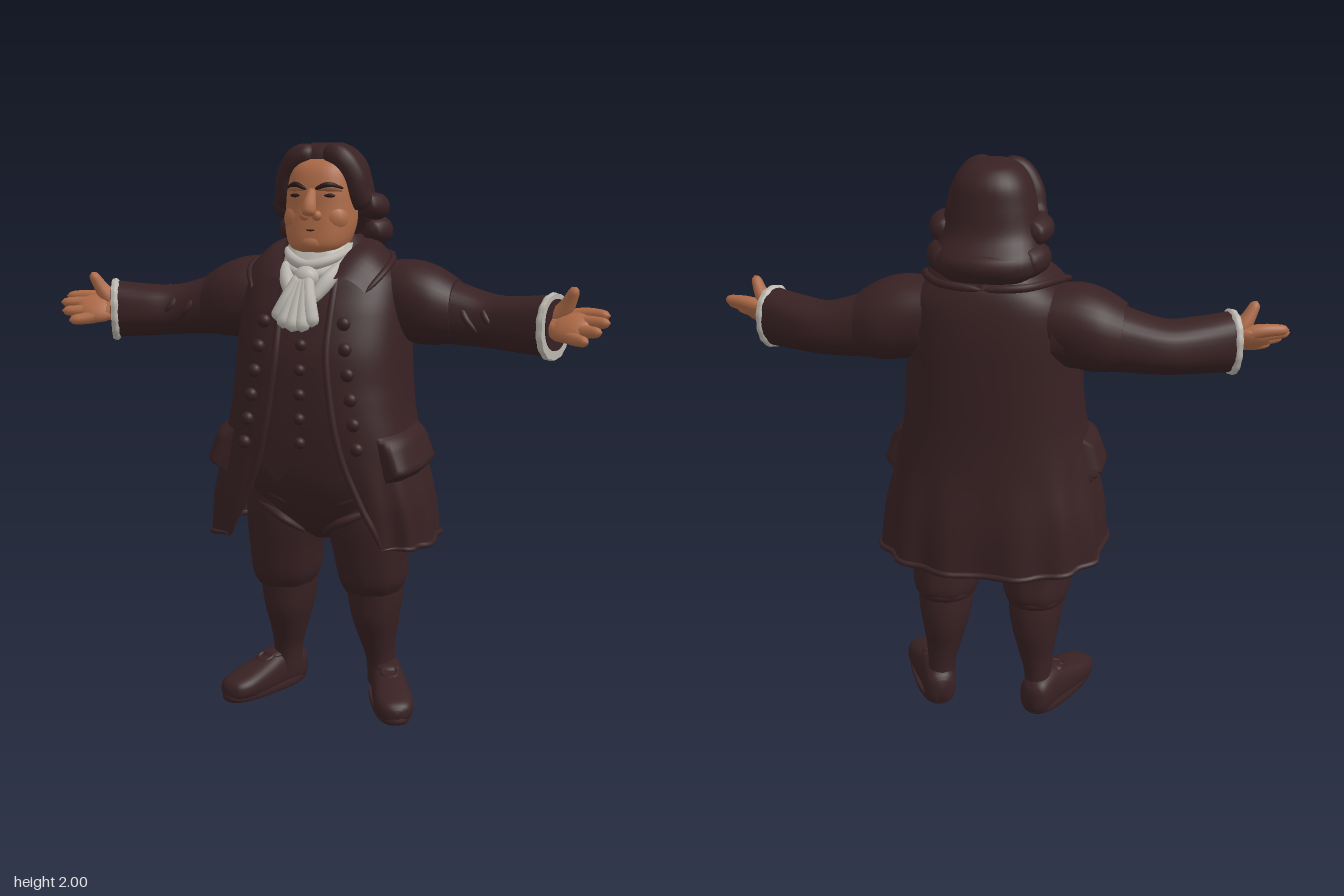
import * as THREE from 'three';
import { toCreasedNormals } from 'three/addons/utils/BufferGeometryUtils.js';

const V = (p) => new THREE.Vector3(...p);
const mat = (name, color) => Object.assign(new THREE.MeshStandardMaterial({ color, side: THREE.DoubleSide }), { name });
const sPow = (x, e) => Math.sign(x) * Math.pow(Math.abs(x), 2 / e);

// Smooth interpolation between rows of numbers at a fractional index
function rowAt(rows, i) {
  const k = Math.min(rows.length - 2, Math.max(0, Math.floor(i))), t = i - k;
  const [a, b, c, d] = [k - 1, k, k + 1, k + 2].map((n) => rows[Math.min(rows.length - 1, Math.max(0, n))]);
  return b.map((_, n) => b[n] + 0.5 * t * (c[n] - a[n] + t * (2 * a[n] - 5 * b[n] + 4 * c[n] - d[n] + t * (3 * (b[n] - c[n]) + d[n] - a[n]))));
}

// Grid surface from fn(u, v) => [x, y, z]
function sheet(nu, nv, fn) {
  const pos = [], idx = [];
  for (let j = 0; j <= nv; j++) for (let i = 0; i <= nu; i++) pos.push(...fn(i / nu, j / nv));
  for (let j = 0; j < nv; j++) for (let i = 0; i < nu; i++) {
    const a = j * (nu + 1) + i, b = a + 1, c = a + nu + 1;
    idx.push(a, b, c + 1, a, c + 1, c);
  }
  const g = new THREE.BufferGeometry();
  g.setAttribute('position', new THREE.Float32BufferAttribute(pos, 3));
  g.setIndex(idx);
  return g;
}

// Capped loft along axis 0/1/2; rings are [x, y, z, radiusU, radiusV, tilt]
function loft(axis, rings, { e = 2.2, n = 32, steps = 5, ruffle = 0, folds = 12 } = {}) {
  const rows = rings.map((r) => [...r, 0].slice(0, 6)), N = (rows.length - 1) * steps;
  const U = (axis + 1) % 3, W = (axis + 2) % 3;
  return sheet(n, N + 2, (u, v) => {
    const j = Math.round(v * (N + 2)), a = u === 1 ? 0 : u * Math.PI * 2;
    const r = rowAt(rows, Math.min(N, Math.max(0, j - 1)) / steps), p = r.slice(0, 3);
    const s = j === 0 || j === N + 2 ? 0 : 1 + ruffle * Math.cos(folds * a);
    const dv = s * r[4] * sPow(Math.sin(a), e);
    p[U] += s * r[3] * sPow(Math.cos(a), e);
    p[W] += dv;
    p[axis] += r[5] * dv;
    return p;
  });
}

// Tapered round-ended tube through points
function limb(pts, radii, n = 10, N = 18) {
  const curve = new THREE.CatmullRomCurve3(pts.map(V)), f = curve.computeFrenetFrames(N, false);
  const rows = radii.map((r) => [r]);
  return sheet(n, N, (u, v) => {
    const j = Math.round(v * N), a = u === 1 ? 0 : u * Math.PI * 2, e = Math.min(1, Math.min(v, 1 - v) / 0.14);
    const r = rowAt(rows, v * (rows.length - 1))[0] * Math.sqrt(e * (2 - e));
    return curve.getPointAt(v).addScaledVector(f.normals[j], r * Math.cos(a)).addScaledVector(f.binormals[j], r * Math.sin(a)).toArray();
  });
}

const ball = (p, r, s = [1, 1, 1]) => new THREE.SphereGeometry(r, 16, 12).scale(...s).translate(...p);

// Coat outline by height: [y, centre z, half width, half depth, half opening]
const HEM = 0.65, TOP = 1.69;
const BODY = [
  [HEM, -0.025, 0.395, 0.262, 0.27], [0.8, -0.012, 0.38, 0.268, 0.21], [0.95, 0.006, 0.345, 0.266, 0.15],
  [1.1, 0.014, 0.315, 0.265, 0.115], [1.3, 0.008, 0.3, 0.258, 0.09], [1.45, -0.015, 0.29, 0.232, 0.09],
  [1.55, -0.035, 0.27, 0.2, 0.09], [1.62, -0.045, 0.2, 0.165, 0.09], [TOP, -0.04, 0.11, 0.1, 0.08]];
// The skirt front is squarer than the chest and the back
const frontE = (y) => 2.5 + 1.2 * Math.min(1, Math.max(0, (1.2 - y) / 0.4));
function bodyAt(y) {
  let k = 0;
  while (k < BODY.length - 2 && BODY[k + 1][0] < y) k++;
  return rowAt(BODY, k + (y - BODY[k][0]) / (BODY[k + 1][0] - BODY[k][0]));
}
function bodyPoint(y, a, off = 0) {
  const [, zc, rx, rz] = bodyAt(y), low = Math.max(0, (1 - y) / 0.35), c = Math.cos(a), e = c > 0 ? frontE(y) : 2.5;
  const o = off + 0.01 * low * Math.cos(13 * a);
  return [(rx + o) * sPow(Math.sin(a), e), y - 0.01 * low * low * (1 - c) ** 2, zc + (rz + o) * sPow(c, e)];
}
const openAngle = (y) => { const b = bodyAt(y); return Math.asin(Math.pow(b[4] / b[2], frontE(y) / 2)); };
function frontZ(x, y) {
  const [, zc, rx, rz] = bodyAt(y), e = frontE(y);
  return zc + rz * Math.pow(Math.max(0, 1 - Math.pow(Math.abs(x) / rx, e)), 1 / e);
}

export function createModel() {
  const model = new THREE.Group();
  const cloth = mat('dark brown cloth', 0x382123), skin = mat('skin', 0xad6a47);
  const linen = mat('off-white linen', 0xbab6ae), line = mat('dark features', 0x2b1819);

  function add(name, geo, material, both = false) {
    for (const side of both ? ['left', 'right'] : ['']) {
      const g = geo.clone();
      if (side === 'right') { g.scale(-1, 1, 1); g.index.array.reverse(); }
      g.deleteAttribute('uv');
      const mesh = new THREE.Mesh(toCreasedNormals(g.scale(100, 100, 100), 1.0).scale(0.01, 0.01, 0.01), material);
      mesh.name = side ? side + name[0].toUpperCase() + name.slice(1) : name;
      model.add(mesh);
    }
  }

  // Open coat with folded skirt and rolled edges
  add('coat', sheet(84, 44, (u, v) => {
    const y = HEM + v * (TOP - HEM), a0 = openAngle(y);
    return bodyPoint(y, a0 + u * (2 * Math.PI - 2 * a0));
  }), cloth);
  const edge = [], hem = [], h0 = openAngle(HEM);
  for (let i = 0; i <= 14; i++) { const y = HEM + i * 0.068; edge.push(bodyPoint(y, openAngle(y))); }
  for (let i = 0; i <= 48; i++) hem.push(bodyPoint(HEM, h0 + (i / 48) * (2 * Math.PI - 2 * h0)));
  add('coatFrontEdge', limb(edge, [0.013, 0.013], 8, 40), cloth, true);
  add('coatHem', limb(hem, [0.011, 0.011], 8, 110), cloth);

  // Waistcoat with two points at the bottom
  add('waistcoat', sheet(32, 24, (u, v) => {
    const s = u * 2 - 1, low = 0.96 - 0.1 * Math.max(0, 1 - Math.abs(Math.abs(s * 0.25) - 0.09) / 0.09);
    const y = low + v * (1.6 - low), x = s * Math.min(0.25, 0.8 * bodyAt(y)[2]);
    return [x, y, frontZ(x, y) - 0.018];
  }), cloth);

  // Buttons
  for (let i = 0; i < 6; i++) {
    const y = 1.0 + i * 0.082, x = 0.2 - i * 0.012;
    add('coatButton', ball([x, y, frontZ(x, y) + 0.012], 0.023, [1, 1, 0.85]), cloth, true);
    if (i < 5) add('waistcoatButton', ball([0, y + 0.01, frontZ(0, y) - 0.006], 0.02), cloth);
  }

  // Bulging pocket flaps
  add('pocketFlap', sheet(24, 12, (u, v) => {
    const rim = Math.min(u, 1 - u, v * 0.5, (1 - v) * 0.6) * 9;
    return bodyPoint(0.875 + v * 0.165 + 0.02 * u, 0.72 + u * 1.08, -0.01 + 0.05 * Math.min(1, rim) * (1.15 - 0.5 * v));
  }), cloth, true);

  // Folded collar
  const inner = [[0.08, 1.55, 0.2], [0.115, 1.635, 0.11], [0.13, 1.67, 0], [0.09, 1.68, -0.13], [0, 1.68, -0.17]];
  const outer = [[0.2, 1.51, 0.185], [0.24, 1.575, 0.1], [0.225, 1.612, -0.05], [0.14, 1.62, -0.19], [0, 1.615, -0.22]];
  add('collar', sheet(20, 8, (u, v) => {
    const a = rowAt(inner, u * 4), b = rowAt(outer, u * 4), bulge = 0.022 * Math.sin(Math.PI * v);
    return a.map((c, n) => c + (b[n] - c) * v + (n === 1 ? bulge : 0));
  }), cloth, true);
  add('collarRim', limb(outer, [0.01, 0.013, 0.014], 8, 24), cloth, true);

  // Sleeves and shoulder caps
  add('sleeve', loft(0, [
    [0.22, 1.46, -0.07, 0.13, 0.13], [0.34, 1.45, -0.065, 0.125, 0.13], [0.46, 1.425, -0.062, 0.105, 0.115, -0.05],
    [0.58, 1.405, -0.05, 0.09, 0.102, -0.2], [0.68, 1.403, -0.01, 0.093, 0.09, -0.35], [0.792, 1.407, 0.033, 0.102, 0.076, -0.4]], { ruffle: 0.015, folds: 7 }), cloth, true);
  add('shoulderCap', loft(0, [
    [0.2, 1.49, -0.065, 0.11, 0.13], [0.3, 1.465, -0.06, 0.14, 0.15], [0.38, 1.45, -0.06, 0.133, 0.148],
    [0.45, 1.435, -0.06, 0.108, 0.122]]), cloth, true);
  for (const [x, s] of [[0.5, 0.095], [0.57, 0.086], [0.64, 0.086]])
    add('sleeveFold', limb([[x - 0.03, 1.41 + s, -0.05], [x, 1.43, 0.043], [x + 0.05, 1.37, 0.043]], [0.008, 0.014, 0.008]), cloth, true);

  // Linen cuffs peeking out of the sleeves, closed inside by the sleeve lining
  add('cuff', loft(0, [
    [0.78, 1.406, 0.03, 0.1, 0.074, -0.4], [0.79, 1.405, 0.034, 0.111, 0.082, -0.4], [0.805, 1.405, 0.038, 0.108, 0.08, -0.4]],
    { ruffle: 0.015, folds: 14, n: 64 }), linen, true);
  add('sleeveLining', loft(0, [
    [0.8, 1.412, 0.036, 0.085, 0.062, -0.4], [0.808, 1.412, 0.039, 0.085, 0.062, -0.4]], { steps: 1 }), cloth, true);

  // Open hands
  add('palm', ball([0, 0, 0], 0.075, [1.05, 0.45, 0.9]).rotateX(0.7).rotateY(-0.35).translate(0.852, 1.412, 0.062), skin, true);
  const fingers = [
    [[0.89, 1.448, 0.035], [0.983, 1.45, 0.06]], [[0.895, 1.427, 0.062], [0.988, 1.43, 0.095]],
    [[0.885, 1.402, 0.088], [0.967, 1.403, 0.127]], [[0.865, 1.38, 0.105], [0.927, 1.372, 0.15]]];
  for (const [knuckle, tip] of fingers)
    add('finger', limb([[0.77, 1.412, 0.035], knuckle, tip], [0.036, 0.028, 0.022, 0.017]), skin, true);
  add('thumb', limb([[0.79, 1.42, 0.03], [0.835, 1.468, 0.045], [0.872, 1.54, 0.07]], [0.034, 0.031, 0.023, 0.017]), skin, true);

  // Breeches
  add('breechesSeat', loft(1, [
    [0, 0.62, -0.03, 0.07, 0.06], [0, 0.69, -0.03, 0.16, 0.22], [0, 0.85, -0.02, 0.225, 0.3], [0, 1.0, 0, 0.22, 0.28]]), cloth);
  add('breechesLeg', loft(1, [
    [0.165, 0.43, -0.05, 0.125, 0.1], [0.165, 0.475, -0.045, 0.148, 0.12], [0.16, 0.57, -0.03, 0.152, 0.13],
    [0.15, 0.7, -0.025, 0.165, 0.147], [0.15, 0.85, -0.02, 0.15, 0.14]], { ruffle: 0.015, folds: 9 }), cloth, true);
  add('kneeBand', loft(1, [[0.165, 0.435, -0.055, 0.127, 0.105], [0.165, 0.455, -0.055, 0.134, 0.111], [0.165, 0.475, -0.05, 0.127, 0.105]]), cloth, true);
  for (const [y, x] of [[0.8, 0.24], [0.73, 0.22]])
    add('breechesFold', limb([[0.03, y - 0.07, 0.125], [0.1, y - 0.02, 0.155], [x, y + 0.03, 0.115]], [0.008, 0.016, 0.008]), cloth, true);

  // Stockings
  add('stocking', loft(1, [
    [0.185, 0.06, -0.1, 0.07, 0.05], [0.18, 0.15, -0.095, 0.07, 0.05], [0.172, 0.23, -0.085, 0.086, 0.064],
    [0.167, 0.32, -0.075, 0.112, 0.084], [0.166, 0.4, -0.07, 0.115, 0.097], [0.165, 0.48, -0.06, 0.11, 0.097]]), cloth, true);

  // Shoes turned outwards
  const shoe = (g) => g.rotateY(0.42).translate(0.2, 0, -0.1);
  const upper = loft(2, [
    [0, 0.06, -0.09, 0.03, 0.045], [0, 0.065, -0.06, 0.057, 0.07], [0, 0.07, 0.03, 0.058, 0.078], [0, 0.06, 0.12, 0.066, 0.062],
    [0, 0.05, 0.22, 0.07, 0.046], [0, 0.045, 0.275, 0.052, 0.034], [0, 0.04, 0.295, 0.02, 0.018]], { e: 2.6 });
  add('shoeUpper', shoe(upper), cloth, true);
  add('shoeSole', shoe(loft(1, [[0, 0.004, 0.105, 0.188, 0.066], [0, 0.014, 0.105, 0.195, 0.07], [0, 0.028, 0.105, 0.192, 0.069]], { e: 2.6, steps: 2 })), cloth, true);
  add('shoeTongue', shoe(ball([0, 0.135, 0.05], 0.045, [1, 0.35, 0.8]).rotateX(0.1)), cloth, true);
  add('shoeBuckle', shoe(new THREE.TorusGeometry(0.028, 0.008, 8, 16).rotateX(-1.2).translate(0, 0.125, 0.1)), cloth, true);

  // Head
  add('neck', loft(1, [[0, 1.52, 0, 0.09, 0.095], [0, 1.6, 0.01, 0.09, 0.09], [0, 1.74, 0.01, 0.09, 0.09]]), skin);
  add('head', loft(1, [
    [0, 1.632, 0.085, 0.06, 0.065], [0, 1.66, 0.07, 0.092, 0.1], [0, 1.72, 0.05, 0.107, 0.119], [0, 1.78, 0.038, 0.112, 0.12],
    [0, 1.85, 0.03, 0.115, 0.115], [0, 1.92, 0.018, 0.102, 0.1], [0, 1.965, 0, 0.05, 0.05]], { e: 2.4 }), skin);
  add('nose', limb([[0, 1.845, 0.138], [0, 1.8, 0.165], [0, 1.755, 0.18]], [0.015, 0.019, 0.025, 0.024]), skin);
  add('nostril', ball([0.022, 1.757, 0.156], 0.017), skin, true);
  add('cheek', ball([0.058, 1.745, 0.098], 0.055, [1, 1, 0.85]), skin, true);
  add('chin', ball([0, 1.665, 0.13], 0.042, [1.3, 0.8, 0.9]), skin);
  add('lowerLip', ball([0, 1.697, 0.148], 0.02, [1.8, 0.45, 0.6]), skin);
  add('browRidge', limb([[0.015, 1.842, 0.14], [0.055, 1.85, 0.132], [0.095, 1.838, 0.1]], [0.01, 0.016, 0.01]), skin, true);
  add('eyebrow', limb([[0.014, 1.843, 0.153], [0.055, 1.858, 0.146], [0.1, 1.845, 0.107]], [0.006, 0.009, 0.004]), line, true);
  add('eye', ball([0.052, 1.822, 0.134], 0.025, [1.1, 0.3, 0.4]), line, true);
  add('mouth', limb([[-0.05, 1.717, 0.142], [0, 1.708, 0.157], [0.05, 1.717, 0.142]], [0.002, 0.003, 0.002]), line);

  // Wig with parted front, side curls and flared back
  add('wig', loft(1, [
    [0, 1.635, -0.155, 0.07, 0.13], [0, 1.665, -0.145, 0.1, 0.17], [0, 1.71, -0.13, 0.113, 0.175], [0, 1.775, -0.075, 0.12, 0.16],
    [0, 1.86, -0.045, 0.133, 0.148], [0, 1.93, -0.035, 0.13, 0.128], [0, 1.975, -0.025, 0.105, 0.092], [0, 1.995, -0.025, 0.06, 0.05]]), cloth);
  add('wigFrontLobe', limb([[0.012, 1.955, 0.06], [0.07, 1.945, 0.066], [0.115, 1.885, 0.054], [0.126, 1.825, 0.04], [0.142, 1.785, 0.01]],
    [0.038, 0.043, 0.042, 0.042, 0.044], 14, 26), cloth, true);
  add('wigSideCurl', limb([[0.135, 1.79, 0.02], [0.162, 1.783, -0.05], [0.14, 1.775, -0.13]], [0.04, 0.046, 0.04], 14), cloth, true);
  add('wigLowerCurl', limb([[0.142, 1.7, -0.03], [0.158, 1.7, -0.1], [0.12, 1.69, -0.18]], [0.034, 0.05, 0.05], 14), cloth, true);
  add('wigBackRoll', limb([[-0.15, 1.69, -0.14], [-0.08, 1.688, -0.195], [0, 1.688, -0.212], [0.08, 1.688, -0.195], [0.15, 1.69, -0.14]],
    [0.045, 0.044, 0.044, 0.045], 14, 30), cloth);

  // Cravat: neck wraps, knot, side gathers and fanned tails
  add('cravatWrap', loft(1, [[0, 1.54, 0.06, 0.12, 0.12], [0, 1.6, 0.05, 0.117, 0.13], [0, 1.665, 0.03, 0.1, 0.112]], { ruffle: 0.012, folds: 14, n: 56 }), linen);
  for (const [y, w] of [[1.62, 0.12], [1.585, 0.115]])
    add('cravatFold', limb([[-w, y + 0.025, 0.06], [-0.06, y - 0.01, 0.158], [0, y - 0.025, 0.185], [0.06, y - 0.01, 0.158], [w, y + 0.025, 0.06]], [0.014, 0.018, 0.018, 0.014]), linen);
  add('cravatGather', limb([[0.1, 1.6, 0.13], [0.07, 1.545, 0.19], [0.03, 1.48, 0.24]], [0.016, 0.026, 0.018]), linen, true);
  add('cravatKnot', ball([0, 1.555, 0.2], 0.04, [1.1, 1, 0.95]), linen);
  for (const [x, y, z] of [[-0.082, 1.415, 0.265], [-0.052, 1.395, 0.288], [-0.018, 1.385, 0.295], [0.016, 1.385, 0.29], [0.046, 1.4, 0.272]])
    add('cravatTail', limb([[x * 0.2, 1.565, 0.21], [x * 0.65, 1.48, 0.252], [x, y, z]], [0.02, 0.024, 0.028]), linen);
  return model;
}
